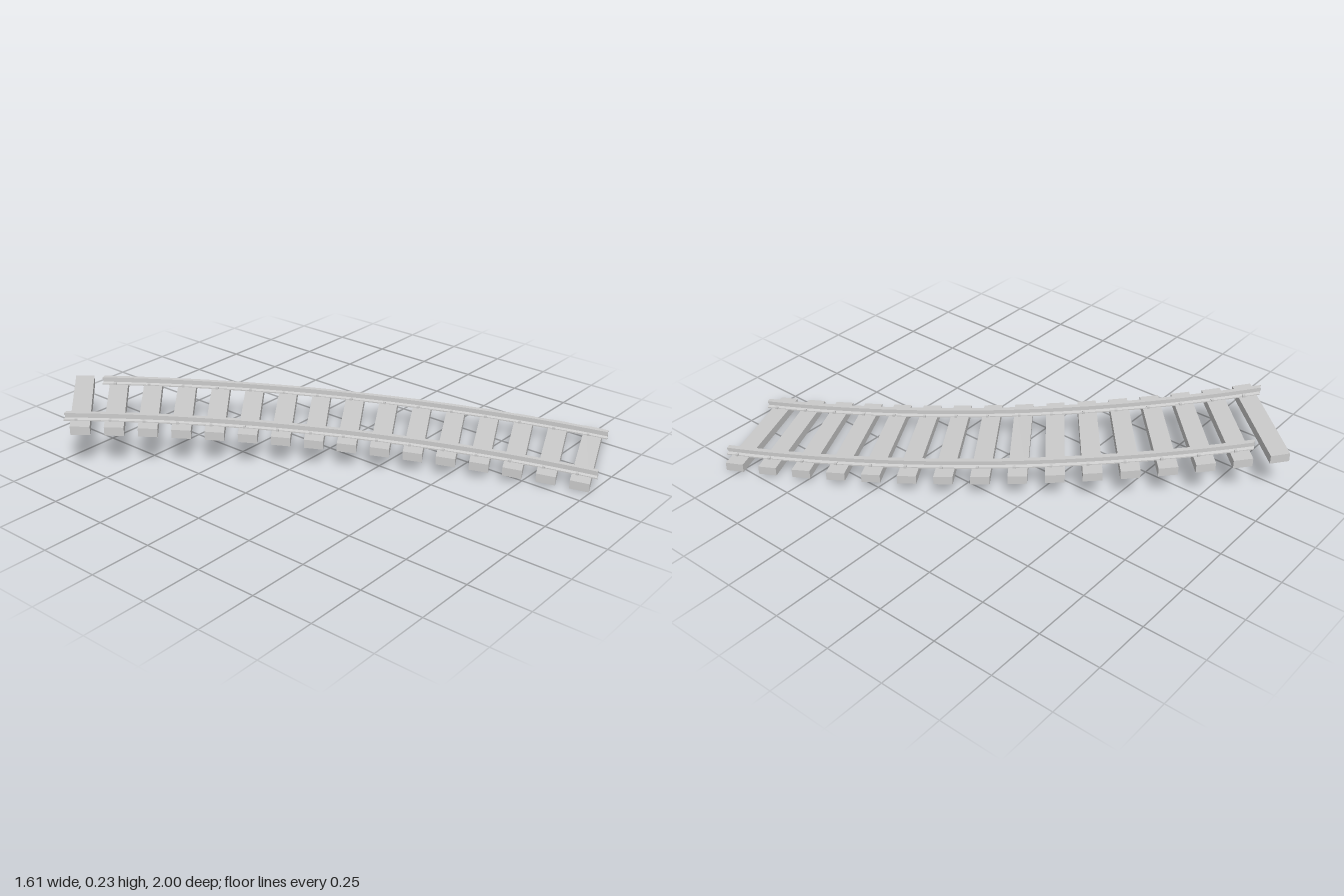
import * as THREE from 'three';

// Plan of the curve: centre of the bend, middle radius and tie angles
const CX = -3.79, CZ = 2.666, R = 4.7;
const DEG = Math.PI / 180;
const FIRST = 22.56 * DEG, LAST = 47.34 * DEG, TIES = 16;
const RISE = 0.158, TIE_H = 0.035, TIE_W = 0.075, TIE_L = 0.51;
const GAUGE = 0.182, RAIL_H = 0.03;

const material = new THREE.MeshStandardMaterial({ color: 0xcccccc, flatShading: true });

// Bends straight geometry (x across, y up, -z along the track) onto the climbing curve
function bend(geometry, angle) {
  const g = geometry.index ? geometry.toNonIndexed() : geometry;
  const p = g.attributes.position;
  for (let i = 0; i < p.count; i++) {
    const r = R + p.getX(i);
    const a = angle - p.getZ(i) / r;
    const y = p.getY(i) + 0.003 + RISE * (a - FIRST) / (LAST - FIRST);
    p.setXYZ(i, CX + r * Math.cos(a), y, CZ - r * Math.sin(a));
  }
  g.computeVertexNormals();
  return g;
}

function addPart(parent, name, geometry, angle) {
  const mesh = new THREE.Mesh(bend(geometry, angle), material);
  mesh.name = name;
  parent.add(mesh);
}

// Rail section: wide foot, thin web, narrower head
function railShape() {
  const half = [
    [0.016, 0], [0.016, 0.005], [0.004, 0.009],
    [0.004, 0.02], [0.01, 0.022], [0.01, RAIL_H],
  ];
  const mirrored = half.map(([x, y]) => [-x, y]).reverse();
  return new THREE.Shape([...half, ...mirrored].map(([x, y]) => new THREE.Vector2(x, y)));
}

function addRail(parent, name, offset, startDeg, endDeg) {
  const length = (endDeg - startDeg) * DEG * (R + offset);
  const geometry = new THREE.ExtrudeGeometry(railShape(), { depth: length, steps: 32, bevelEnabled: false });
  geometry.translate(offset, TIE_H - 0.002, -length);
  addPart(parent, name, geometry, startDeg * DEG);
}

export function createModel() {
  const track = new THREE.Group();
  track.name = 'curvedTrack';
  const ties = new THREE.Group();
  ties.name = 'ties';
  const spikes = new THREE.Group();
  spikes.name = 'spikes';
  track.add(ties, spikes);

  for (let i = 0; i < TIES; i++) {
    const angle = THREE.MathUtils.lerp(FIRST, LAST, i / (TIES - 1));

    // Cross tie
    const tie = new THREE.BoxGeometry(TIE_L, TIE_H, TIE_W);
    tie.translate(0, TIE_H / 2, 0);
    addPart(ties, 'tie', tie, angle);

    // Spikes on both edges of each rail foot, staggered along the tie
    for (const rail of [-1, 1]) {
      if (rail === 1 && i === TIES - 1) continue;
      for (const side of [-1, 1]) {
        const spike = new THREE.BoxGeometry(0.011, 0.009, 0.011);
        spike.translate(rail * GAUGE + side * 0.016, TIE_H + 0.004, side * 0.016);
        addPart(spikes, 'spike', spike, angle);
      }
    }
  }

  // The outer rail stops short of the last tie
  addRail(track, 'innerRail', -GAUGE, 21.8, 48.05);
  addRail(track, 'outerRail', GAUGE, 21.84, 46.4);
  return track;
}
